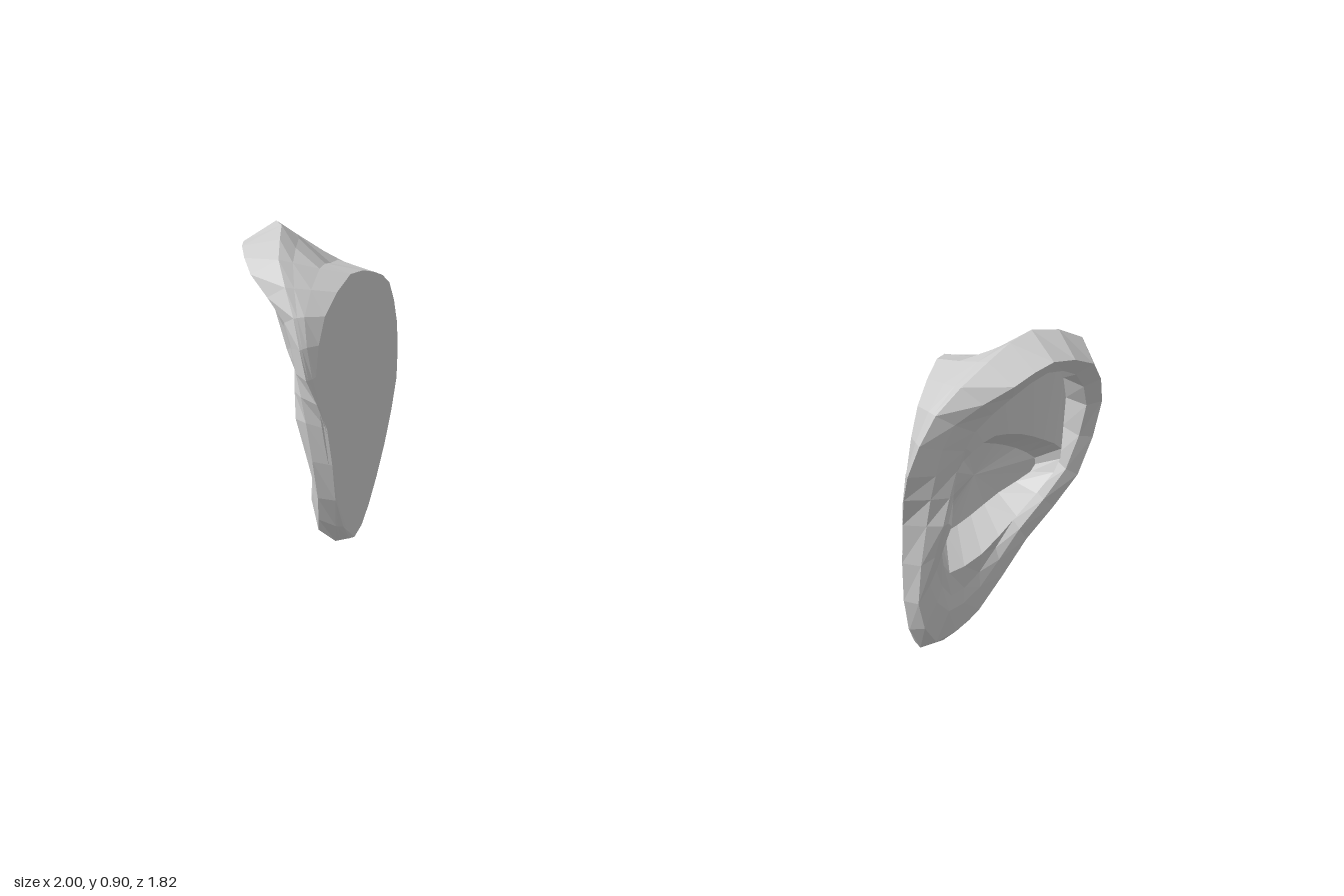
import * as THREE from 'three';

// Each section is a closed loop of 12 [x, y, z] points, running clockwise
// seen from the front: left tip, over the top, down the outer edge, lobe, front edge.
const cap = [[.375, .59], [.425, .74], [.54, .80], [.64, .75], [.705, .68], [.73, .54],
  [.715, .37], [.645, .20], [.56, .06], [.49, .005], [.43, .14], [.39, .38]]
  .map(([x, y]) => [x, y, 0.82 - 1.08 * (x - 0.38)]); // slanted flat back

const neck = [[.365, .59, .84], [.425, .75, .83], [.56, .825, .73], [.69, .78, .65],
  [.81, .725, .565], [.84, .56, .55], [.82, .40, .55], [.74, .21, .55],
  [.61, .04, .62], [.48, .01, .72], [.42, .16, .77], [.385, .40, .80]];

const outerEdge = [[.36, .59, .86], [.43, .75, .86], [.58, .865, .84], [.74, .90, .77],
  [.91, .84, .74], [1.0, .65, .67], [.97, .38, .645], [.835, .20, .63],
  [.66, .02, .69], [.475, .015, .765], [.41, .18, .78], [.385, .42, .80]];

const backEdge = neck.map((p, i) => [ // bulge between neck and outer edge
  p[0] + (outerEdge[i][0] - p[0]) * 0.65,
  p[1] + (outerEdge[i][1] - p[1]) * 0.65,
  p[2] + (outerEdge[i][2] - p[2]) * 0.65 - (i > 4 && i < 9 ? 0.03 : 0)]);

const rimCrest = [[.44, .58, .86], [.48, .72, .87], [.62, .82, .91], [.74, .86, .89],
  [.90, .80, .82], [.98, .65, .75], [.95, .42, .71], [.82, .24, .69],
  [.66, .08, .74], [.50, .05, .805], [.43, .19, .825], [.43, .43, .845]];

const rimInner = [[.51, .57, .84], [.55, .68, .85], [.64, .77, .87], [.74, .82, .865],
  [.86, .77, .805], [.94, .64, .74], [.915, .44, .705], [.79, .28, .70],
  [.65, .16, .755], [.53, .14, .81], [.46, .24, .825], [.47, .43, .86]];

const groove = [[.53, .56, .81], [.58, .66, .80], [.66, .75, .79], [.76, .80, .76],
  [.86, .76, .71], [.925, .63, .66], [.90, .46, .665], [.78, .30, .68],
  [.65, .20, .745], [.54, .18, .80], [.48, .28, .82], [.49, .43, .85]];

const innerRidge = [[.53, .54, .80], [.58, .59, .79], [.65, .62, .78], [.74, .60, .76],
  [.82, .56, .74], [.89, .51, .715], [.875, .44, .71], [.76, .34, .73],
  [.64, .27, .77], [.53, .25, .80], [.49, .33, .825], [.50, .42, .85]];

const bowl = [[.55, .52, .75], [.59, .54, .71], [.65, .55, .68], [.72, .53, .66],
  [.79, .50, .65], [.85, .46, .65], [.84, .42, .65], [.74, .38, .66],
  [.65, .34, .68], [.56, .32, .71], [.52, .36, .73], [.52, .43, .76]];

const SIDES = 24;

// Smooth a section through its points and sample it evenly
function sampleLoop(points) {
  const curve = new THREE.CatmullRomCurve3(
    points.map((p) => new THREE.Vector3(...p)), true, 'catmullrom', 0.4);
  return Array.from({ length: SIDES }, (_, i) => curve.getPoint(i / SIDES));
}

const pointLoop = (x, y, z) =>
  Array.from({ length: SIDES }, () => new THREE.Vector3(x, y, z));

// Skin the sections in order; place() positions each point, flip reverses the faces
function skin(loops, place, flip) {
  const positions = [];
  const tri = (a, b, c) => {
    for (const p of flip ? [a, c, b] : [a, b, c]) positions.push(...place(p).toArray());
  };
  const last = loops.length - 2;
  for (let i = 0; i <= last; i++) {
    for (let j = 0; j < SIDES; j++) {
      const k = (j + 1) % SIDES;
      const a = loops[i][j], b = loops[i][k], c = loops[i + 1][k], d = loops[i + 1][j];
      if (i > 0) tri(a, c, b);
      if (i < last) tri(a, d, c);
    }
  }
  const geometry = new THREE.BufferGeometry();
  geometry.setAttribute('position', new THREE.Float32BufferAttribute(positions, 3));
  geometry.computeVertexNormals();
  return geometry;
}

// Mirror across the diagonal, then turn slightly about the second ear's own middle
function mirrored(p) {
  const x = -p.z - 0.09 + 0.74, z = -p.x + 0.1 + 0.6;
  const c = Math.cos(0.12), s = Math.sin(0.12);
  return new THREE.Vector3(x * c + z * s - 0.745, p.y, z * c - x * s - 0.61);
}

export function createModel() {
  const group = new THREE.Group();
  group.name = 'earPair';
  const skinGrey = new THREE.MeshStandardMaterial({ color: 0xcccccc });
  skinGrey.name = 'skinGrey';
  skinGrey.flatShading = true;

  const loops = [
    pointLoop(0.56, 0.42, 0.625), // middle of the flat back
    ...[cap, neck, backEdge, outerEdge, rimCrest, rimInner, groove, innerRidge, bowl].map(sampleLoop),
    pointLoop(0.66, 0.45, 0.665), // bottom of the bowl
  ];

  const leftEar = new THREE.Mesh(skin(loops, (p) => p, false), skinGrey);
  leftEar.name = 'leftEar';
  const rightEar = new THREE.Mesh(skin(loops, mirrored, true), skinGrey);
  rightEar.name = 'rightEar';
  group.add(leftEar, rightEar);
  return group;
}
